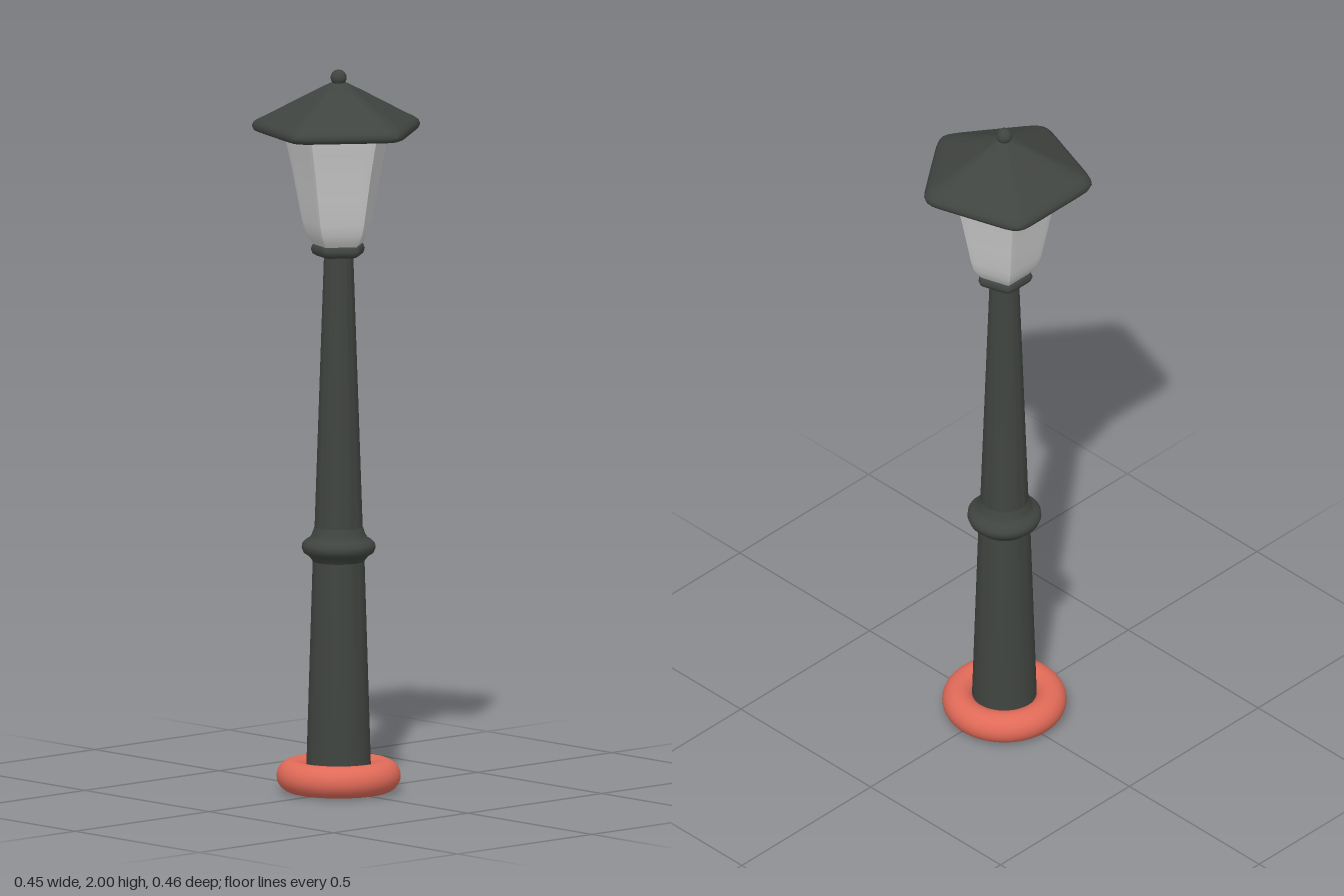
import * as THREE from 'three';
import { toCreasedNormals } from 'three/addons/utils/BufferGeometryUtils.js';

const iron = new THREE.MeshStandardMaterial({ color: 0x404440 });
const glass = new THREE.MeshStandardMaterial({ color: 0xcccccc, side: THREE.DoubleSide });
const terracotta = new THREE.MeshStandardMaterial({ color: 0xe06a58 });

function part(name, geometry, material, y = 0) {
  const mesh = new THREE.Mesh(geometry, material);
  mesh.name = name;
  mesh.position.y = y;
  return mesh;
}

function lathe(profile, segments) {
  return new THREE.LatheGeometry(profile.map(([r, y]) => new THREE.Vector2(r, y)), segments);
}

// Lathe pressed into a rounded pentagon with a corner on +x.
// Profile radii are centre-to-side distances; a higher sharpness gives tighter corners.
function pentagonLathe(profile, sharpness, crease) {
  const geometry = lathe(profile, 80);
  const pos = geometry.attributes.position;
  for (let i = 0; i < pos.count; i++) {
    const x = pos.getX(i), z = pos.getZ(i);
    const angle = Math.atan2(z, x);
    let sum = 0;
    for (let k = 0; k < 5; k++) {
      const c = Math.cos(angle - (k + 0.5) * Math.PI * 0.4);
      sum += Math.max(0, c) ** sharpness;
    }
    const scale = sum ** (-1 / sharpness);
    pos.setX(i, x * scale);
    pos.setZ(i, z * scale);
  }
  return toCreasedNormals(geometry, crease);
}

export function createModel() {
  const model = new THREE.Group();
  model.name = 'streetLamp';

  // Base ring
  const ring = new THREE.TorusGeometry(0.126, 0.044, 24, 64).rotateX(Math.PI / 2);
  model.add(part('baseRing', ring, terracotta, 0.046));

  // Tapered post
  const post = lathe([[0, 0.05], [0.089, 0.05], [0.071, 0.64], [0.066, 0.73], [0.04, 1.49], [0, 1.49]], 48);
  model.add(part('post', toCreasedNormals(post, 0.6), iron));

  // Moulded band around the post
  const band = lathe([
    [0.068, 0.635], [0.074, 0.645], [0.082, 0.655], [0.096, 0.664], [0.101, 0.677],
    [0.1, 0.688], [0.091, 0.698], [0.08, 0.704], [0.073, 0.715], [0.066, 0.735],
  ], 48);
  model.add(part('postBand', band, iron));

  // Collar under the lantern
  const collar = pentagonLathe([
    [0, 1.485], [0.054, 1.485], [0.062, 1.49], [0.066, 1.502], [0.062, 1.514], [0.054, 1.519], [0, 1.519],
  ], 14, 0.9);
  model.add(part('lanternCollar', collar, iron));

  // Flared five-sided lantern
  const panes = pentagonLathe([
    [0.056, 1.512], [0.068, 1.53], [0.077, 1.55], [0.084, 1.58],
    [0.095, 1.65], [0.106, 1.72], [0.118, 1.785], [0.127, 1.83], [0.13, 1.868],
  ], 60, 0.5);
  model.add(part('lanternPanes', panes, glass));

  // Roof with rounded eaves and a hollow underside
  const roof = pentagonLathe([
    [0, 1.9], [0.1, 1.87], [0.17, 1.842], [0.182, 1.828], [0.192, 1.824], [0.201, 1.828],
    [0.205, 1.838], [0.201, 1.849], [0.19, 1.858], [0.172, 1.868],
    [0.12, 1.901], [0.06, 1.939], [0.02, 1.963], [0, 1.968],
  ], 15, 0.9);
  model.add(part('roof', roof, iron));

  // Ball on the roof
  model.add(part('roofBall', new THREE.SphereGeometry(0.022, 24, 16), iron, 1.978));

  // The pentagon's corner reaches further than its flat side
  model.position.x = -0.019;
  const root = new THREE.Group();
  root.name = 'lampRoot';
  root.add(model);
  return root;
}
